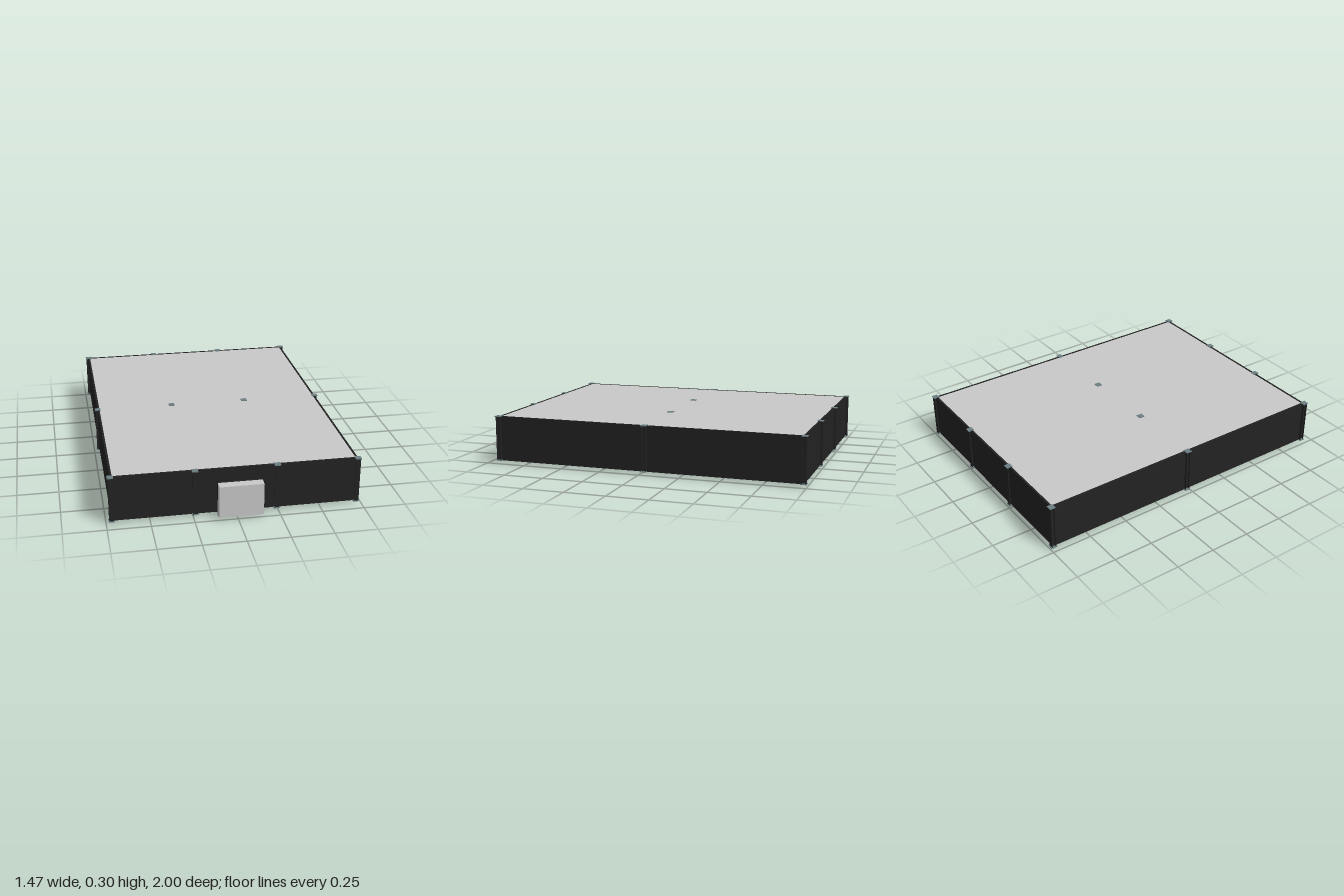
import * as THREE from 'three';

const mat = (name, color, side = THREE.FrontSide) => {
  const m = new THREE.MeshStandardMaterial({ color, side });
  m.name = name;
  return m;
};

export function createModel() {
  const model = new THREE.Group();
  model.name = 'warehouse';
  const dark = mat('charcoal cladding', 0x222222);
  const light = mat('light grey panel', 0xc9c9c9);
  const steel = mat('blue grey steel', 0x6b7f83);
  const tan = mat('tan lining', 0xc49a6c);

  // Box given by its minimum and maximum on each axis
  const box = (name, material, [x0, x1], [y0, y1], [z0, z1], parent = model) => {
    const mesh = new THREE.Mesh(new THREE.BoxGeometry(x1 - x0, y1 - y0, z1 - z0), material);
    mesh.position.set((x0 + x1) / 2, (y0 + y1) / 2, (z0 + z1) / 2);
    mesh.name = name;
    parent.add(mesh);
    return mesh;
  };

  const base = 0.016, top = 0.296;
  const back = -0.982, front = 0.928;

  // Floor and roof slabs
  box('floor', light, [-0.7, 0.7], [base + 0.001, 0.028], [-0.971, 0.912]);
  box('roof', light, [-0.707, 0.707], [0.282, 0.292], [-0.972, 0.916]);

  // Outer walls
  box('backWall', dark, [-0.718, 0.718], [base, 0.294], [-0.983, -0.971]);
  box('frontWall', dark, [-0.718, 0.718], [base, 0.294], [0.915, 0.927]);
  for (const s of [-1, 1]) {
    const span = (a, b) => (s > 0 ? [a, b] : [-b, -a]);
    box('sideWall', dark, span(0.706, 0.718), [base, 0.294], [-0.971, 0.915]);
    box('sideLining', tan, span(0.7, 0.706), [base, 0.282], [-0.971, 0.915]);
  }
  box('frontLining', tan, [-0.7, 0.7], [base, 0.282], [0.912, 0.915]);

  // H-section columns with square end plates
  for (const x of [-0.718, -0.239, 0.239, 0.718]) {
    for (const z of [back, (back + front) / 2, front]) {
      const column = new THREE.Group();
      column.name = 'column';
      column.position.set(x, 0, z);
      model.add(column);
      const h = 0.014, shaft = [base + 0.004, top - 0.004];
      box('columnWeb', dark, [-0.003, 0.003], shaft, [-h, h], column);
      box('columnFlange', dark, [-h, h], shaft, [h - 0.004, h], column);
      box('columnFlange', dark, [-h, h], shaft, [-h, 0.004 - h], column);
      for (const y of [base, top - 0.005]) {
        box('endPlate', steel, [-0.018, 0.018], [y, y + 0.005], [-0.018, 0.018], column);
      }
    }
  }

  // Entrance: door leaf, threshold and a surround open underneath
  box('doorLeaf', dark, [-0.11, 0.15], [base, 0.21], [0.925, 0.945]);
  box('threshold', light, [-0.11, 0.15], [0, base], [0.925, 0.965]);
  const surround = box('doorSurround', light, [-0.11, 0.15], [base, 0.212], [0.945, 1]);
  const faces = Array.from(surround.geometry.index.array);
  faces.splice(18, 6);
  surround.geometry.setIndex(faces);
  surround.geometry.clearGroups();

  return model;
}
